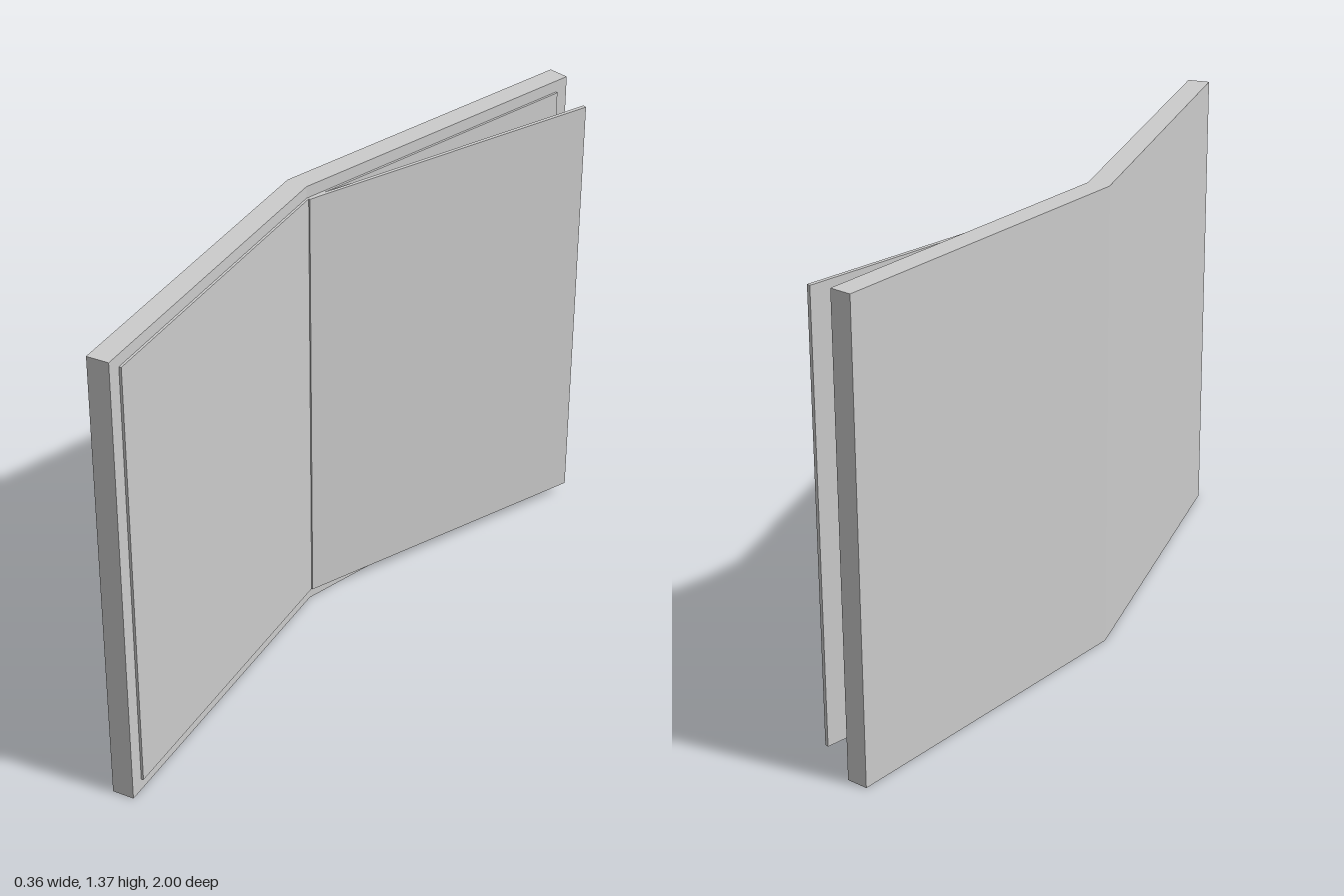
import * as THREE from 'three';

const COVER_HEIGHT = 1.374;
const PAGE_HEIGHT = 1.304;
const PAGE_BASE = 0.035;

// Upright slab from a plan outline of [x, z] corners
function slab(name, outline, base, height, material) {
  const shape = new THREE.Shape(outline.map(([x, z]) => new THREE.Vector2(x, -z)));
  const geometry = new THREE.ExtrudeGeometry(shape, { depth: height, bevelEnabled: false });
  geometry.rotateX(-Math.PI / 2);
  const mesh = new THREE.Mesh(geometry, material);
  mesh.name = name;
  mesh.position.y = base;
  return mesh;
}

export function createModel() {
  const book = new THREE.Group();
  book.name = 'openBook';
  const material = new THREE.MeshStandardMaterial({ color: 0xcccccc, flatShading: true });

  // Cover folded along the spine
  book.add(slab('cover', [
    [-0.18, 0], [0, 1], [0.063, 0.989], [-0.115, 0], [0.063, -0.989], [0, -1],
  ], 0, COVER_HEIGHT, material));

  // Thin page lying against each half of the cover
  for (const [name, side] of [['frontPage', 1], ['backPage', -1]]) {
    book.add(slab(name, [
      [-0.116, 0], [0.054, 0.947 * side], [0.062, 0.945 * side], [-0.108, 0],
    ], PAGE_BASE, PAGE_HEIGHT, material));
  }

  // Loose page swung away from the back half
  book.add(slab('raisedPage', [
    [-0.115, 0], [0.167, -0.922], [0.178, -0.918], [-0.104, 0],
  ], PAGE_BASE, PAGE_HEIGHT, material));

  return book;
}
